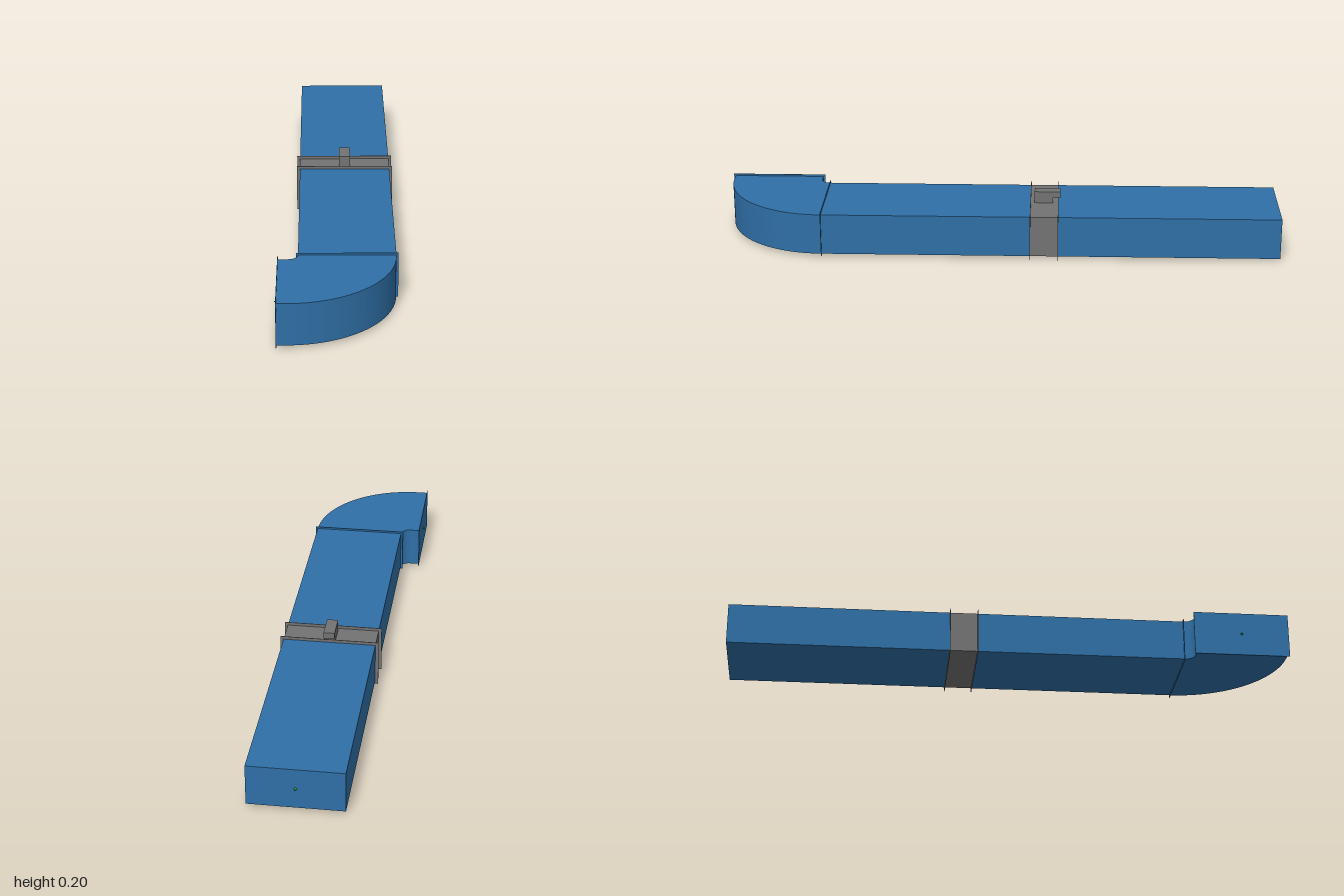
import * as THREE from 'three';
import { toCreasedNormals } from 'three/addons/utils/BufferGeometryUtils.js';

const BLUE = new THREE.MeshStandardMaterial({ color: 0x2f6fa6 });
const GREY = new THREE.MeshStandardMaterial({ color: 0x737373 });
const GREEN = new THREE.MeshStandardMaterial({ color: 0x1f9a2f });

// Duct section
const X0 = -0.13, X1 = 0.195, Y0 = 0.011, Y1 = 0.158;
const CX = (X0 + X1) / 2, CY = (Y0 + Y1) / 2;
const OUTLET = -0.197, BEND_X = -0.163, BEND_Z = 0.632;
const R_IN = X0 - BEND_X, R_OUT = X1 - BEND_X;

export function createModel() {
  const group = new THREE.Group();

  const add = (name, geometry, material) => {
    const mesh = new THREE.Mesh(geometry, material);
    mesh.name = name;
    group.add(mesh);
    return mesh;
  };
  // Box given by its limits on each axis
  const box = (name, material, [xa, xb], [ya, yb], [za, zb]) =>
    add(name, new THREE.BoxGeometry(xb - xa, yb - ya, zb - za), material)
      .position.set((xa + xb) / 2, (ya + yb) / 2, (za + zb) / 2);
  // Thin collar plate across the duct
  const flange = (name, material, z, lip) =>
    box(name, material, [X0 - lip, X1 + lip], [Y0 - lip, Y1 + lip], [z - 0.001, z + 0.001]);

  // Straight runs either side of the damper
  box('rearDuct', BLUE, [X0, X1], [Y0, Y1], [-0.987, -0.205]);
  box('frontDuct', BLUE, [X0, X1], [Y0, Y1], [-0.105, BEND_Z]);

  // Damper section with its two flanges
  box('damperBody', GREY, [X0, X1], [Y0, Y1], [-0.205, -0.105]);
  flange('damperRearFlange', GREY, -0.204, 0.011);
  flange('damperFrontFlange', GREY, -0.106, 0.011);

  // Stepped actuator on top of the damper
  box('actuatorBase', GREY, [0.013, 0.052], [Y1, 0.177], [-0.185, -0.12]);
  box('actuatorHead', GREY, [0.013, 0.052], [0.177, 0.2], [-0.212, -0.12]);

  // Quarter bend with a short straight outlet, drawn in plan (x, z)
  const plan = new THREE.Shape();
  plan.moveTo(X1, BEND_Z);
  plan.absarc(BEND_X, BEND_Z, R_OUT, 0, Math.PI / 2, false);
  plan.lineTo(OUTLET, BEND_Z + R_OUT);
  plan.lineTo(OUTLET, BEND_Z + R_IN);
  plan.lineTo(BEND_X, BEND_Z + R_IN);
  plan.absarc(BEND_X, BEND_Z, R_IN, Math.PI / 2, 0, true);
  plan.closePath();
  const bend = new THREE.ExtrudeGeometry(plan, { depth: Y1 - Y0, bevelEnabled: false, curveSegments: 32 });
  bend.rotateX(Math.PI / 2).translate(0, Y1, 0);
  add('elbow', toCreasedNormals(bend, 0.5), BLUE);

  // Elbow flanges at the inlet and the outlet
  flange('elbowInletFlange', BLUE, BEND_Z, 0.007);
  box('elbowOutletFlange', BLUE, [OUTLET - 0.001, OUTLET + 0.001], [Y0 - 0.007, Y1 + 0.007],
    [BEND_Z + R_IN - 0.007, BEND_Z + R_OUT + 0.007]);

  // Small connection cones at both ends
  const cone = () => new THREE.ConeGeometry(0.005, 0.012, 12);
  add('rearPortMarker', cone().rotateX(-Math.PI / 2), GREEN).position.set(CX, CY, -0.993);
  add('outletPortMarker', cone().rotateZ(Math.PI / 2), GREEN)
    .position.set(OUTLET - 0.005, CY, BEND_Z + (R_IN + R_OUT) / 2);

  return group;
}
